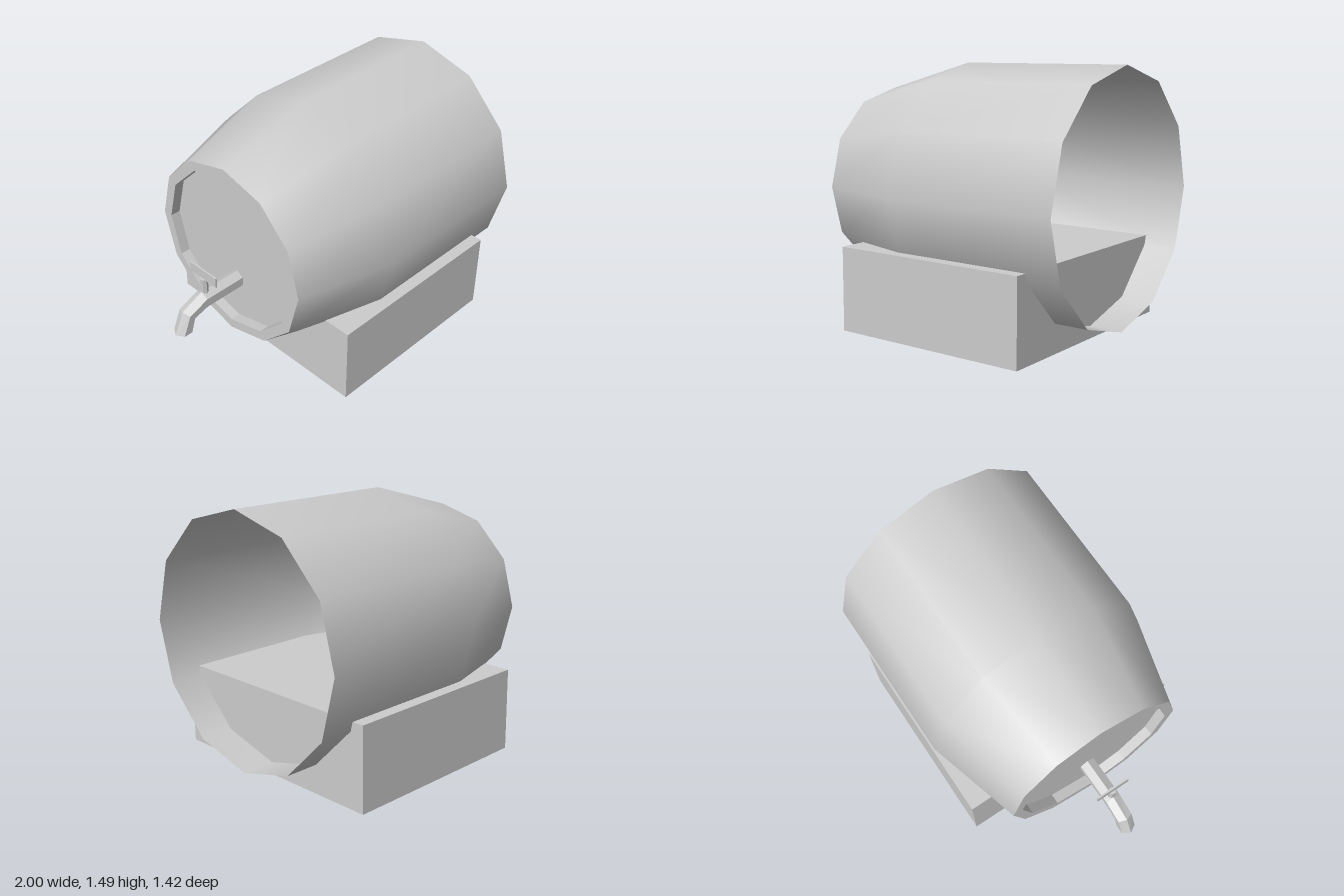
import * as THREE from 'three';

const SIDES = 12;
const AXIS_Y = 0.78;

// Unshared corners give crisp flat faces
function flat(geometry) {
  const g = geometry.index ? geometry.toNonIndexed() : geometry;
  g.computeVertexNormals();
  return g;
}

// Lathe whose axis lies along -x, at the barrel's height
function lyingLathe(points) {
  const profile = points.map(([r, h]) => new THREE.Vector2(r, h));
  return new THREE.LatheGeometry(profile, SIDES).rotateZ(Math.PI / 2).translate(0, AXIS_Y, 0);
}

// Six-sided pipe through rings of [x, y, upX, upY], closed at its last ring
function hexPipe(rings, radius) {
  const n = 6, pos = [], index = [];
  for (const [x, y, ux, uy] of rings) {
    for (let k = 0; k < n; k++) {
      const a = (k / n) * Math.PI * 2;
      pos.push(x + ux * Math.cos(a), y + uy * Math.cos(a), radius * Math.sin(a));
    }
  }
  for (let i = 0; i < rings.length - 1; i++) {
    for (let k = 0; k < n; k++) {
      const a = i * n + k, b = i * n + (k + 1) % n;
      index.push(a, a + n, b, b, a + n, b + n);
    }
  }
  const last = (rings.length - 1) * n;
  for (let k = 1; k < n - 1; k++) index.push(last, last + k + 1, last + k);
  const g = new THREE.BufferGeometry();
  g.setAttribute('position', new THREE.Float32BufferAttribute(pos, 3));
  g.setIndex(index);
  return flat(g);
}

export function createModel() {
  const group = new THREE.Group();
  const grey = new THREE.MeshStandardMaterial({ color: 0xcccccc, side: THREE.DoubleSide });
  grey.name = 'light grey';

  const add = (name, geometry) => {
    const mesh = new THREE.Mesh(geometry, grey);
    mesh.name = name;
    group.add(mesh);
  };

  // Barrel shell, open at +x and tapering towards the tap
  add('barrelShell', lyingLathe([[0.71, -1], [0.71, 0.03], [0.55, 0.6]]));

  // Flat rim and recessed barrel head
  add('barrelHead', flat(lyingLathe([[0.55, 0.6], [0.49, 0.6], [0.49, 0.54], [0, 0.54]])));

  // Stand: box without a bottom
  const stand = new THREE.BoxGeometry(1.18, 0.48, 1.4).translate(0.215, 0.24, 0);
  const faces = Array.from(stand.index.array);
  faces.splice(18, 6);
  stand.setIndex(faces);
  stand.clearGroups();
  add('stand', stand);

  // Tap: bent spout, stem and cross handle
  add('spout', hexPipe([
    [-0.54, 0.5675, 0, 0.0525],
    [-0.8, 0.5675, 0, 0.0525],
    [-0.909, 0.53, -0.032, 0.03],
    [-0.947, 0.43, -0.053, 0],
  ], 0.0525));
  add('tapStem', flat(new THREE.CylinderGeometry(0.022, 0.022, 0.11, 6).translate(-0.778, 0.65, 0)));
  add('tapHandle', new THREE.BoxGeometry(0.01, 0.062, 0.21).translate(-0.778, 0.733, 0));

  return group;
}
